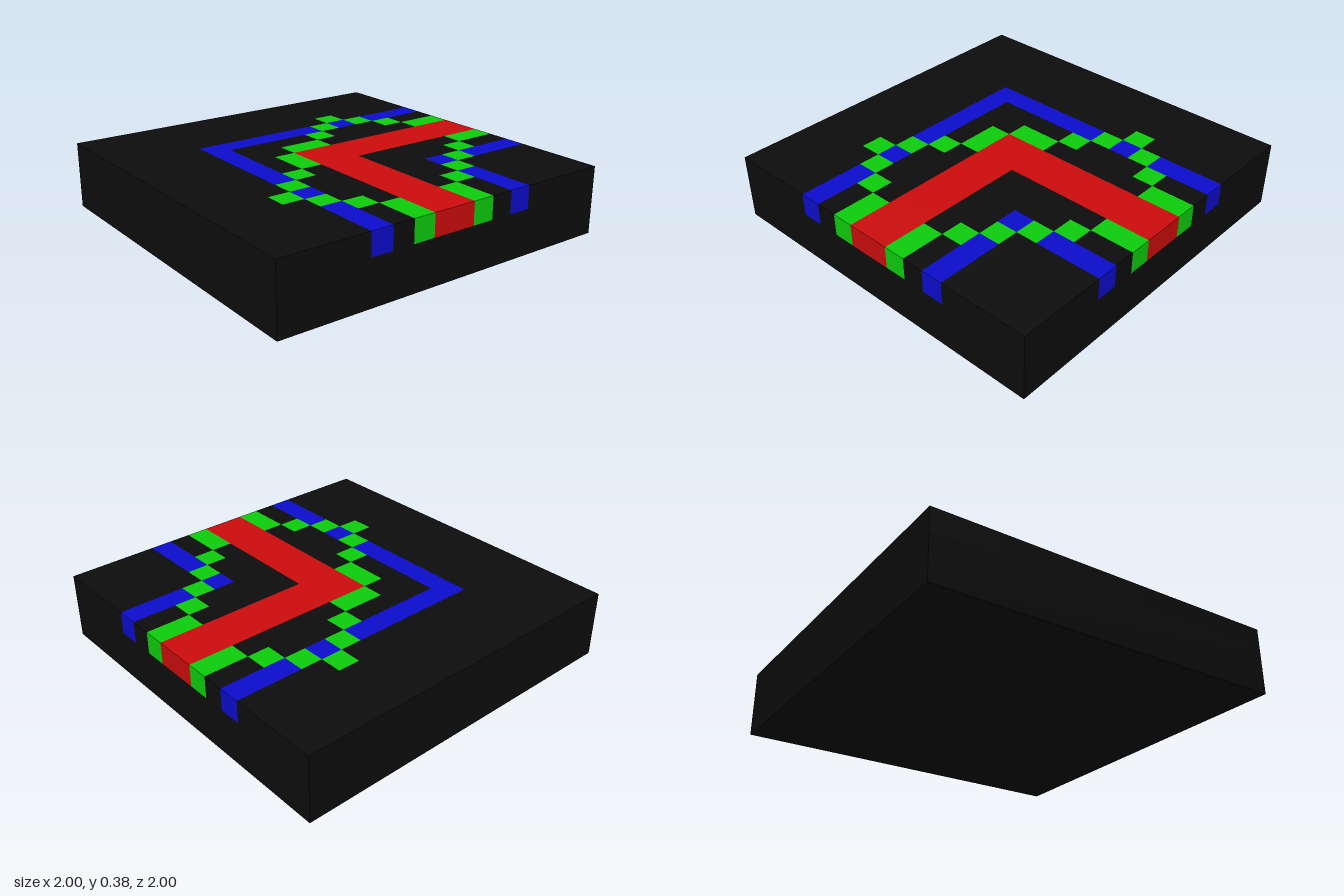
import * as THREE from 'three';
import { mergeGeometries } from 'three/addons/utils/BufferGeometryUtils.js';

const CELL = 0.125;

// Top layer plan, back row first: . ground, r red lane, g green chain, b blue line
const PLAN = [
  '................',
  '................',
  '................',
  '...........g....',
  '....bbbbbbgbgbbb',
  '....b....g...g..',
  '....b..gg.....gg',
  '....b.grrrrrrrrr',
  '....b.grrrrrrrrr',
  '....bg.rr.....gg',
  '....g..rr....g..',
  '...gb..rr..bgbbb',
  '....g..rr..g....',
  '....bg.rr.gb....',
  '....b.grrg.b....',
  '....b.grrg.b....',
];

const PARTS = {
  '.': ['groundSurface', 'black', 0x0d0d0d],
  r: ['cornerLane', 'red', 0xcc0c0c],
  g: ['zigzagChain', 'green', 0x0ccc0c],
  b: ['edgeLines', 'blue', 0x0c0ccc],
};

// One box per horizontal run of equal cells
function runBoxes(symbol) {
  const boxes = [];
  PLAN.forEach((row, j) => {
    for (let i = 0; i < row.length; i++) {
      if (row[i] !== symbol) continue;
      const start = i;
      while (row[i + 1] === symbol) i++;
      const width = (i - start + 1) * CELL;
      boxes.push(new THREE.BoxGeometry(width, CELL, CELL)
        .translate(-1 + start * CELL + width / 2, 2.5 * CELL, -1 + (j + 0.5) * CELL));
    }
  });
  return mergeGeometries(boxes);
}

export function createModel() {
  const model = new THREE.Group();
  model.name = 'cornerTile';

  for (const [symbol, [partName, colorName, color]] of Object.entries(PARTS)) {
    const material = new THREE.MeshStandardMaterial({ color });
    material.name = colorName;

    // Inlaid top layer
    const part = new THREE.Mesh(runBoxes(symbol), material);
    part.name = partName;
    model.add(part);

    // Solid slab beneath the inlay
    if (symbol === '.') {
      const base = new THREE.Mesh(new THREE.BoxGeometry(2, 2 * CELL, 2).translate(0, CELL, 0), material);
      base.name = 'base';
      model.add(base);
    }
  }
  return model;
}
